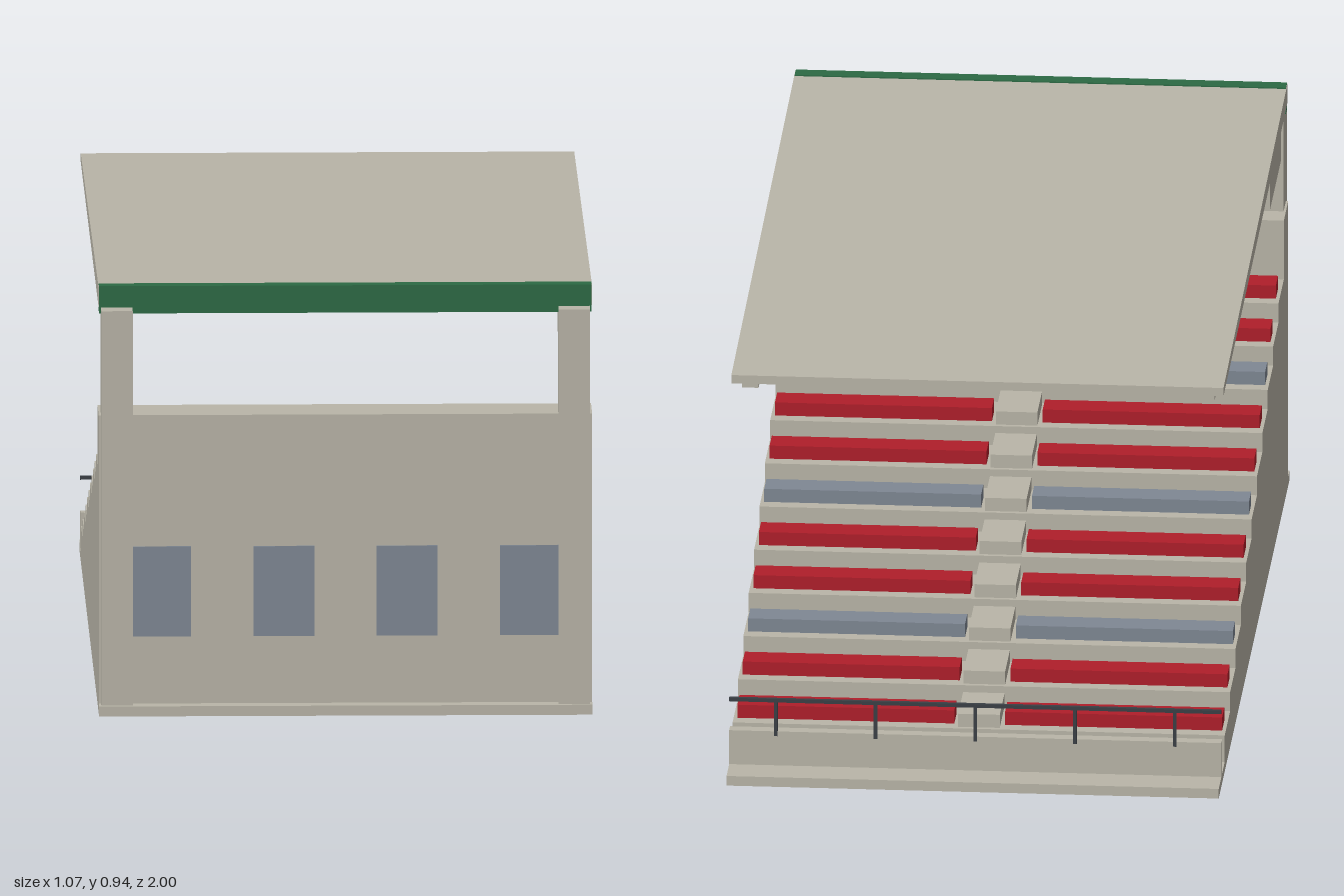
import * as THREE from 'three';

const mat = (name, color) => {
  const m = new THREE.MeshStandardMaterial({ color });
  m.name = name;
  return m;
};

export function createModel() {
  const concrete = mat('concrete', 0xb9b5a8);
  const green = mat('green', 0x2c6a44);
  const red = mat('red', 0xb01e2a);
  const slate = mat('slate', 0x7f8894);
  const dark = mat('dark steel', 0x3a3f45);
  const group = new THREE.Group();

  const add = (name, geometry, material) => {
    const mesh = new THREE.Mesh(geometry, material);
    mesh.name = name;
    group.add(mesh);
  };
  // box given by its limits on each axis
  const box = (name, [x0, x1], [y0, y1], [z0, z1], material) => {
    const g = new THREE.BoxGeometry(x1 - x0, y1 - y0, z1 - z0);
    g.translate((x0 + x1) / 2, (y0 + y1) / 2, (z0 + z1) / 2);
    add(name, g, material);
  };
  // side profile of [z, y] points, extruded across x
  const profile = (name, points, x, width, material) => {
    const shape = new THREE.Shape(points.map(([z, y]) => new THREE.Vector2(z, y)));
    const g = new THREE.ExtrudeGeometry(shape, { depth: width, bevelEnabled: false });
    g.translate(0, 0, -width / 2);
    g.rotateY(-Math.PI / 2);
    g.translate(x, 0, 0);
    add(name, g, material);
  };

  const half = 0.533, rows = 11, run = 0.152, rise = 0.0437;
  const firstZ = -0.83, firstY = 0.083;

  // base slab
  box('base', [-half, half], [0, 0.022], [-1, 1], concrete);

  // terrace with stepped top and rear wall
  const steps = [[0.965, 0.022], [firstZ, 0.022]];
  for (let i = 0; i < rows; i++) {
    const y = firstY + i * rise;
    steps.push([firstZ + i * run, y], [firstZ + (i + 1) * run, y]);
  }
  steps.push([firstZ + rows * run, 0.655], [0.965, 0.655]);
  profile('terrace', steps, 0, half * 2, concrete);

  // benches on both sides of the aisle, with an aisle step on every row
  for (let i = 0; i < rows; i++) {
    const z = firstZ + i * run, y = firstY + i * rise;
    const color = i % 3 === 2 ? slate : red;
    box('benchRight', [-0.525, -0.055], [y, y + 0.03], [z + 0.03, z + 0.092], color);
    box('benchLeft', [0.055, 0.525], [y, y + 0.03], [z + 0.03, z + 0.092], color);
    box('aisleStep', [-0.045, 0.045], [y, y + 0.03], [z + 0.01, z + 0.146], concrete);
  }

  // windows in the outer wall
  for (const x of [-0.4, -0.133, 0.133, 0.4]) {
    box('window', [x - 0.066, x + 0.066], [0.17, 0.367], [0.963, 0.97], slate);
  }

  // columns, brackets and roof beams
  for (const s of [-1, 1]) {
    const x = s * 0.494;
    box('column', [x - 0.034, x + 0.034], [0.022, 0.888], [0.9, 0.99], concrete);
    box('bracket', [x - 0.028, x + 0.028], [0.77, 0.888], [0.6, 0.9], concrete);
    profile('roofBeam', [[0.6, 0.866], [0.6, 0.892], [-0.84, 0.88], [-0.84, 0.858]], x, 0.036, concrete);
  }

  // tapered roof slab and fascia
  profile('roof', [[0.944, 0.889], [0.944, 0.933], [-0.865, 0.895], [-0.865, 0.876]], 0, half * 2, concrete);
  box('fascia', [-half + 0.001, half - 0.001], [0.875, 0.935], [0.912, 0.946], green);

  // parapet with handrail
  box('parapet', [-half, half], [0.022, 0.1], [-0.925, -0.9], concrete);
  box('handrail', [-half, half], [0.168, 0.176], [-0.929, -0.921], dark);
  for (let i = -2; i <= 2; i++) {
    const x = i * 0.216;
    box('railPost', [x - 0.004, x + 0.004], [0.09, 0.17], [-0.928, -0.922], dark);
  }

  return group;
}
